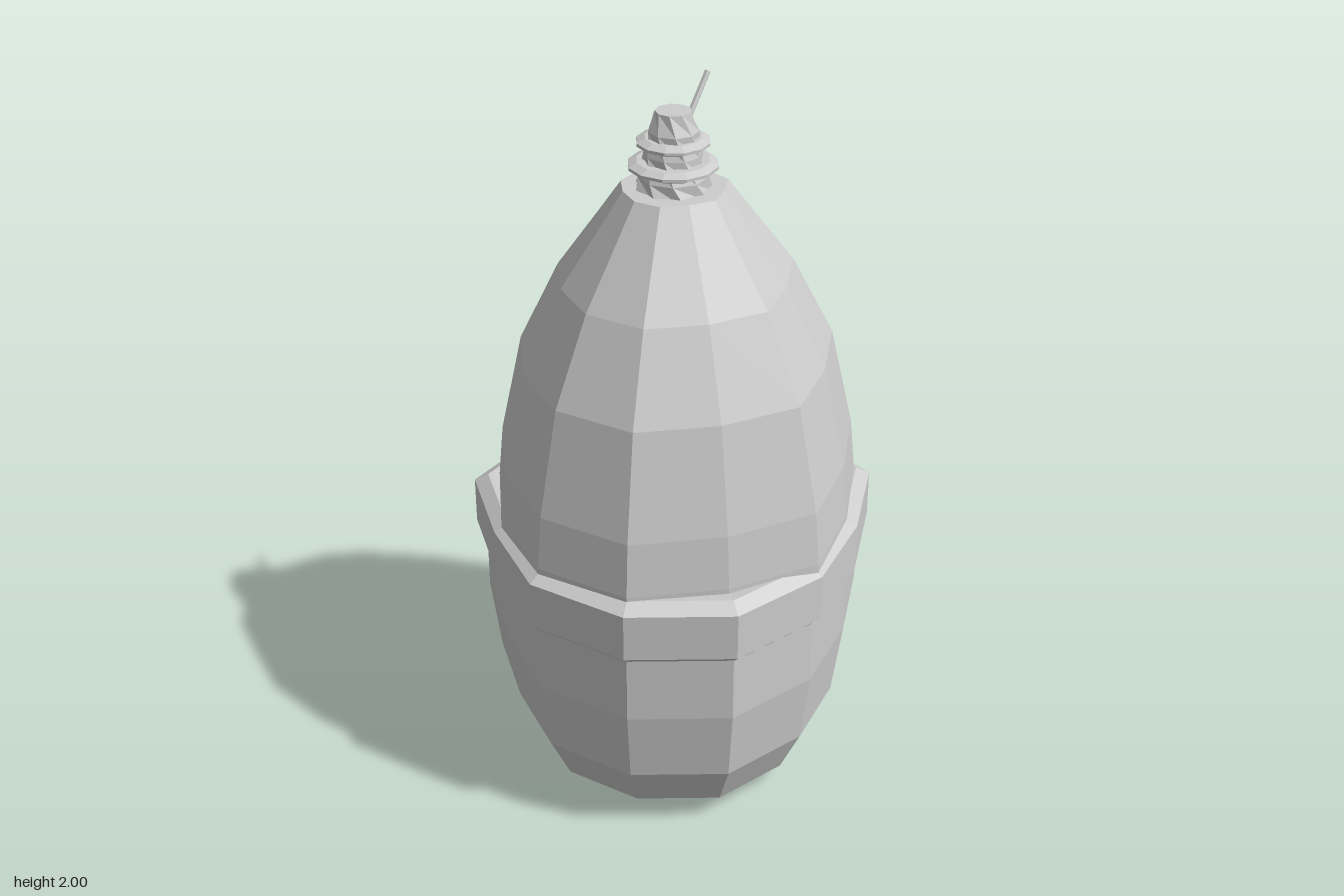
import * as THREE from 'three';

// Flat-shaded loft of horizontal rings. rows: [y, radius, twist]; shape: radius factor per side.
function loft(rows, shape, closed = true) {
  const n = shape.length, pos = [];
  const point = ([y, r, twist = 0], i) => {
    const a = (i / n) * Math.PI * 2 + twist, k = r * shape[i % n];
    return [Math.cos(a) * k, y, Math.sin(a) * k];
  };
  const first = rows[0], last = rows[rows.length - 1];
  for (let i = 0; i < n; i++) {
    for (let j = 0; j < rows.length - 1; j++) {
      const a = point(rows[j], i), b = point(rows[j + 1], i);
      const c = point(rows[j + 1], i + 1), d = point(rows[j], i + 1);
      pos.push(...a, ...b, ...c, ...a, ...c, ...d);
    }
    if (closed) {
      pos.push(0, first[0], 0, ...point(first, i), ...point(first, i + 1));
      pos.push(0, last[0], 0, ...point(last, i + 1), ...point(last, i));
    }
  }
  const g = new THREE.BufferGeometry();
  g.setAttribute('position', new THREE.Float32BufferAttribute(pos, 3));
  g.computeVertexNormals();
  return g;
}

export function createModel() {
  const grey = new THREE.MeshStandardMaterial({ color: 0xcccccc });
  grey.name = 'light grey';
  const model = new THREE.Group();
  model.name = 'eggShell';
  const add = (name, geometry) => {
    const mesh = new THREE.Mesh(geometry, grey);
    mesh.name = name;
    model.add(mesh);
    return mesh;
  };

  // Uneven hand-hewn outlines, one factor every 30 degrees from +x towards +z
  const bandShape = [0.547, 0.589, 0.519, 0.538, 0.573, 0.568, 0.55, 0.51, 0.58, 0.553, 0.534, 0.539];
  const upperShape = [0.96, 1.07, 0.97, 1.04, 0.98, 1.05, 1.03, 0.97, 1.0, 0.96, 1.06, 0.98];
  const round = (n) => new Array(n).fill(1);

  // Rounded lower half
  add('lowerShell', loft([
    [0, 0.43], [0.07, 0.77], [0.21, 0.895], [0.42, 0.945], [0.66, 0.945],
  ], bandShape));

  // Tapering upper half
  add('upperShell', loft([
    [0.66, 0.505], [0.8, 0.502], [0.95, 0.487], [1.24, 0.423],
    [1.47, 0.312], [1.62, 0.207], [1.72, 0.138],
  ], upperShape));

  // Bevelled band around the middle
  add('middleBand', loft([
    [0.61, 0.9], [0.612, 0.955], [0.633, 0.995], [0.766, 0.995], [0.79, 0.925], [0.785, 0.85],
  ], bandShape));

  // Twisted neck with two collars
  add('neck', loft([
    [1.7, 0.108, 0], [1.75, 0.092, 0.3], [1.81, 0.076, 0.6], [1.87, 0.066, 0.9], [1.922, 0.047, 1.2],
  ], round(9)));
  for (const [name, y, r] of [['lowerCollar', 1.778, 0.118], ['upperCollar', 1.84, 0.096]]) {
    add(name, loft([
      [y - 0.014, r - 0.022], [y - 0.004, r], [y + 0.004, r], [y + 0.014, r - 0.022],
    ], round(12)));
  }

  // Thin pin leaning out of the neck
  const from = new THREE.Vector3(0.035, 1.868, 0.006), to = new THREE.Vector3(0.121, 1.995, 0.006);
  const dir = to.clone().sub(from);
  const pinGeometry = new THREE.CylinderGeometry(0.008, 0.008, dir.length(), 6).toNonIndexed();
  pinGeometry.computeVertexNormals();
  const pin = add('pin', pinGeometry);
  pin.position.copy(from).add(to).multiplyScalar(0.5);
  pin.quaternion.setFromUnitVectors(new THREE.Vector3(0, 1, 0), dir.normalize());

  return model;
}
